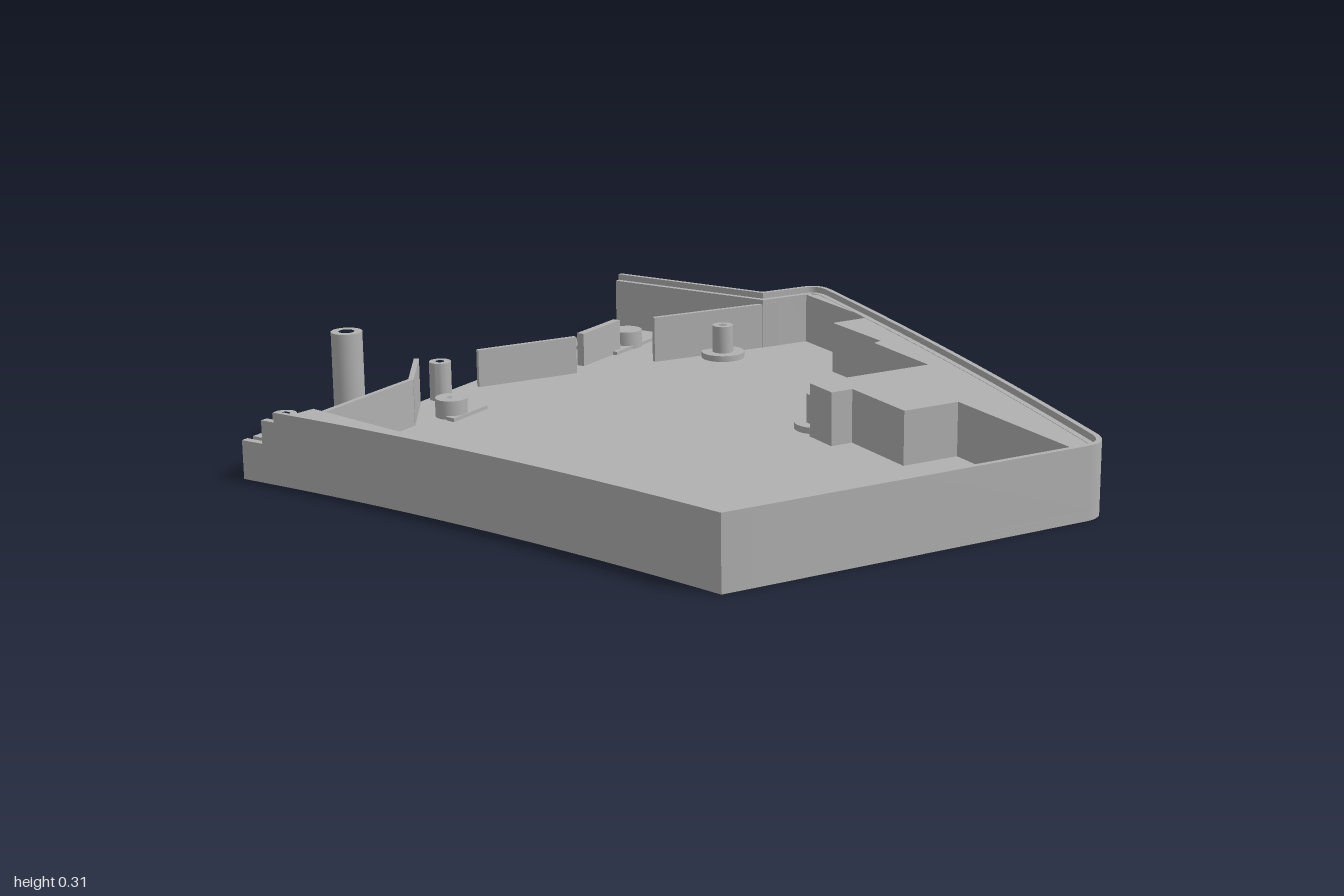
import * as THREE from 'three';
import { toCreasedNormals } from 'three/addons/utils/BufferGeometryUtils.js';

const V = (x, z) => new THREE.Vector2(x, z);
const P = list => list.map(([x, z]) => V(x, z));

// Circle in plan, as points
const circle = (x, z, r, n = 24) =>
  Array.from({ length: n }, (_, i) => V(x + r * Math.cos(i / n * 2 * Math.PI), z + r * Math.sin(i / n * 2 * Math.PI)));

// Quadratic curve in plan, as points
const curve = (a, c, b, n) => new THREE.QuadraticBezierCurve(V(...a), V(...c), V(...b)).getPoints(n);

// Open path moved inwards by d, with mitred corners
function inset(path, d) {
  const normal = (a, b) => { const t = b.clone().sub(a).normalize(); return V(-t.y, t.x); };
  return path.map((p, i) => {
    const n0 = normal(path[Math.max(i - 1, 0)], path[Math.max(i, 1)]);
    const last = path.length - 1;
    const n1 = normal(path[Math.min(i, last - 1)], path[Math.min(i + 1, last)]);
    const m = n0.clone().add(n1).normalize();
    return p.clone().addScaledVector(m, d / m.dot(n0));
  });
}

export function createModel() {
  const group = new THREE.Group();
  const grey = new THREE.MeshStandardMaterial({ color: 0xb0b0b0 });

  const add = (name, geometry) => {
    const mesh = new THREE.Mesh(geometry, grey);
    mesh.name = name;
    group.add(mesh);
    return mesh;
  };
  // Upright prism on a plan outline
  const slab = (name, pts, y0, y1, holes = []) => {
    const flip = list => list.map(p => V(p.x, -p.y));
    const shape = new THREE.Shape(flip(pts));
    holes.forEach(h => shape.holes.push(new THREE.Path(flip(h))));
    const g = new THREE.ExtrudeGeometry(shape, { depth: y1 - y0, bevelEnabled: false });
    g.rotateX(-Math.PI / 2).translate(0, y0, 0);
    return add(name, toCreasedNormals(g, 0.6));
  };
  const tube = (name, x, z, r, hole, y0, y1) => slab(name, circle(x, z, r), y0, y1, [circle(x, z, hole, 16)]);
  const box = (name, x0, x1, y0, y1, z0, z1) =>
    add(name, new THREE.BoxGeometry(x1 - x0, y1 - y0, z1 - z0)
      .translate((x0 + x1) / 2, (y0 + y1) / 2, (z0 + z1) / 2));
  // Thin upright plate between two plan points
  const plate = (name, x0, z0, x1, z1, y1, t = 0.014) => {
    const m = add(name, new THREE.BoxGeometry(Math.hypot(x1 - x0, z1 - z0), y1 - 0.02, t));
    m.position.set((x0 + x1) / 2, (y1 + 0.02) / 2, (z0 + z1) / 2);
    m.rotation.y = -Math.atan2(z1 - z0, x1 - x0);
  };

  const H = 0.185, LEDGE = 0.168, FLOOR = 0.025;

  // Outline, running from the open side round the back and right to the front
  const backEdge = curve([-0.325, -0.98], [0.34, -0.49], [0.94, 0.04], 14);
  const frontEdge = curve([0.47, 0.99], [-0.22, 0.865], [-0.87, 0.865], 16);
  const outline = [
    ...P([[-0.975, -0.85], [-0.48, -0.85]]),
    ...curve([-0.41, -0.97], [-0.383, -1.018], [-0.325, -0.98], 8).slice(0, -1),
    ...backEdge.slice(0, -1),
    ...curve([0.94, 0.04], [0.985, 0.085], [0.96, 0.135], 8),
    ...frontEdge,
  ];

  // Floor in two layers: screw pockets below, shallow dimples above
  const floorOutline = [...outline, V(-0.975, 0.865)];
  const pins = [[-0.82, -0.64], [-0.82, 0.22]];
  const pinHoles = pins.map(([x, z]) => circle(x, z, 0.012, 12));
  const pockets = [[-0.51, -0.67], [0.08, -0.16], [0.44, 0.9], [-0.7, 0.105]];
  slab('floorBottom', floorOutline, 0, 0.012,
    [...pinHoles, ...pockets.map(([x, z]) => circle(x, z, z > 0.8 ? 0.055 : 0.065))]);
  const dimples = [[-0.25, -0.38], [-0.49, 0.03], [-0.31, 0.2], [-0.07, 0.4], [0.2, 0.19], [0.54, 0.34]];
  slab('floorTop', floorOutline, 0.012, FLOOR,
    [...pinHoles, ...dimples.map(([x, z]) => circle(x, z, 0.022, 16))]);

  // Outer wall with a lower ledge inside it
  const band = (name, d0, d1, y1) =>
    slab(name, [...inset(outline, d0), ...inset(outline, d1).reverse()], FLOOR, y1);
  band('outerWall', 0, 0.014, H);
  band('innerLedge', 0.014, 0.03, LEDGE);

  // Stepped block along the back wall
  const steps = P([[0.935, 0.135], [0.505, -0.11], [0.425, 0.03], [0.22, -0.085], [0.19, -0.03], [0.1, -0.08],
    [0.28, -0.4], [0.05, -0.535], [0.055, -0.565], [-0.155, -0.68], [-0.1, -0.785], [-0.4, -0.955]]);
  slab('steppedBackBlock', [...inset(backEdge, 0.012), ...steps], FLOOR, LEDGE - 0.001);

  // Wedge behind the curved front wall
  slab('frontWedge', [...inset(frontEdge, 0.012).slice(1), ...P([[-0.85, 0.74], [0.45, 0.965]])], FLOOR, LEDGE - 0.001);

  // Low, notched end of the front wall
  box('frontWallEnd', -0.975, -0.91, FLOOR, 0.1, 0.845, 0.865);
  box('frontWallStep', -0.91, -0.87, FLOOR, 0.16, 0.845, 0.865);

  // Partitions
  plate('backPartition', -0.655, -0.525, -0.44, -0.87, 0.155);
  plate('slantedPartition', -0.93, -0.05, -0.78, -0.31, 0.13);
  plate('shortPartition', -0.81, -0.57, -0.81, -0.38, 0.12, 0.022);
  plate('cornerPartition', -0.97, 0.17, -0.85, 0.35, 0.15);
  plate('sidePartition', -0.852, 0.345, -0.852, 0.75, 0.15);

  // Screw posts on round feet
  pockets.slice(0, 3).forEach(([x, z]) => {
    tube('screwPostFoot', x, z, z > 0.8 ? 0.055 : 0.062, 0.013, FLOOR, 0.042);
    tube('screwPost', x, z, 0.03, 0.013, 0.042, 0.12);
  });
  tube('wingPost', -0.59, -0.77, 0.03, 0.013, FLOOR, 0.12);
  tube('sidePost', -0.945, 0.1, 0.03, 0.012, FLOOR, 0.13);

  // Open-side supports and the tall post
  box('backPad', -0.975, -0.785, FLOOR, 0.035, -0.75, -0.53);
  tube('backPadDisc', -0.86, -0.64, 0.05, 0.01, 0.03, 0.045);
  pins.forEach(([x, z]) => tube('pinSocket', x, z, 0.043, 0.012, FLOOR, 0.075));
  slab('halfRoundStop', circle(-0.775, 0.195, 0.075).filter(p => p.x <= -0.774), FLOOR, 0.035);
  slab('tallPostBase', P([[-0.975, 0.3], [-0.975, 0.62], [-0.905, 0.62], [-0.885, 0.6], [-0.885, 0.45],
    [-0.87, 0.43], [-0.87, 0.35], [-0.9, 0.3]]), FLOOR, 0.04);
  tube('tallPost', -0.912, 0.525, 0.04, 0.02, FLOOR, 0.31);
  box('frontPad', -0.975, -0.87, FLOOR, 0.1, 0.65, 0.77);
  box('frontPadEdge', -0.975, -0.855, FLOOR, 0.1, 0.77, 0.825);
  tube('frontPost', -0.89, 0.8, 0.03, 0.013, 0.1, 0.165);

  return group;
}
